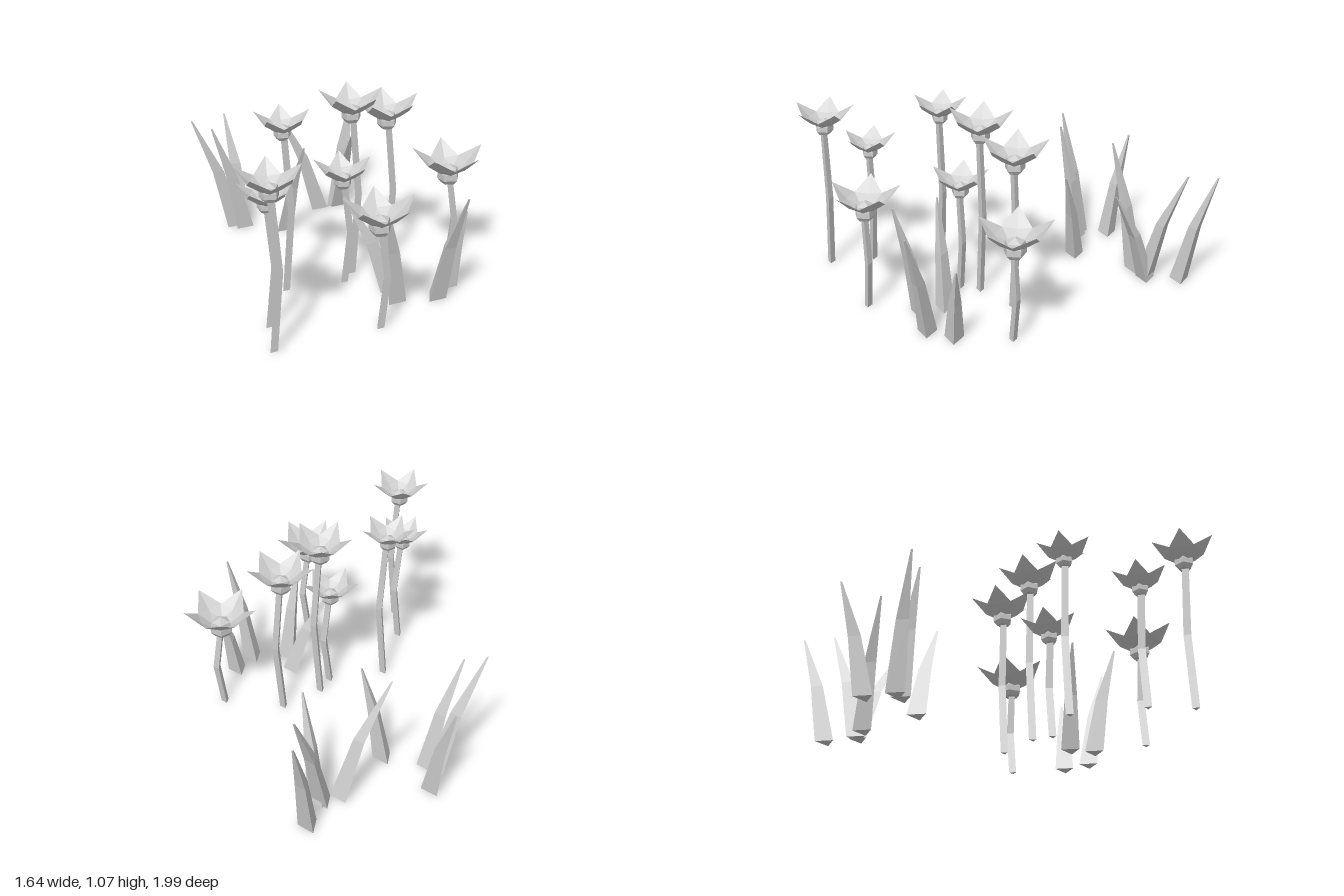
import * as THREE from 'three';

const grey = new THREE.MeshStandardMaterial({ color: 0xcccccc, flatShading: true, side: THREE.DoubleSide });
grey.name = 'pale grey';

// Three-sided tapering tube through horizontal rings [x, y, z, radius], one flat side facing front
function loft(rings) {
  const pos = [], index = [], n = 3, last = (rings.length - 1) * n;
  for (const [x, y, z, r] of rings) {
    for (let k = 0; k < n; k++) {
      const a = Math.PI / 6 + (k / n) * Math.PI * 2;
      pos.push(x + r * Math.cos(a), y, z + r * Math.sin(a));
    }
  }
  for (let i = 0; i < last; i += n) {
    for (let k = 0; k < n; k++) {
      const a = i + k, b = i + (k + 1) % n;
      index.push(a, a + n, b, b, a + n, b + n);
    }
  }
  index.push(0, 1, 2, last, last + 2, last + 1);
  return buildGeometry(pos, index);
}

function buildGeometry(pos, index) {
  const g = new THREE.BufferGeometry();
  g.setAttribute('position', new THREE.Float32BufferAttribute(pos, 3));
  g.setIndex(index);
  g.computeVertexNormals();
  return g;
}

function add(parent, geometry, name) {
  const mesh = new THREE.Mesh(geometry, grey);
  mesh.name = name;
  parent.add(mesh);
  return mesh;
}

// Slightly cupped petal pointing to +x, for a bloom of radius 1
function petalGeometry() {
  const c = Math.cos(Math.PI / 5), s = Math.sin(Math.PI / 5), a = 0.24, b = 0.65;
  return buildGeometry([
    a * c, 0.28, -a * s, a * c, 0.28, a * s,
    b * c, 0.56, b * s, 1, 0.93, 0, b * c, 0.56, -b * s,
    0.55, 0.5, 0], [0, 1, 5, 1, 2, 5, 2, 3, 5, 3, 4, 5, 4, 0, 5]);
}

// Five-sided bud under and inside the petals
function budGeometry() {
  const profile = [[0, 0], [0.2, 0], [0.3, 0.12], [0.3, 0.28], [0.26, 0.43], [0, 0.55]];
  return new THREE.LatheGeometry(profile.map(p => new THREE.Vector2(...p)), 5, Math.PI / 2);
}

export function createModel() {
  const model = new THREE.Group();
  model.name = 'flowerPatch';
  const petal = petalGeometry(), bud = budGeometry();

  // Flowers: x, z, stem height, bloom radius
  const flowers = [
    [-0.685, 0.785, 0.81, 0.173],
    [-0.605, 0.55, 0.645, 0.151],
    [-0.362, 0.22, 0.875, 0.154],
    [-0.098, 0.81, 0.525, 0.196],
    [0.056, 0.19, 0.897, 0.181],
    [0.31, 0.125, 0.8, 0.187],
    [0.612, 0.30, 0.483, 0.208],
    [-0.033, 0.27, 0.56, 0.163],
  ];
  for (const [x, z, h, R] of flowers) {
    const flower = new THREE.Group();
    flower.name = 'flower';
    flower.position.set(x, 0, z);
    model.add(flower);
    add(flower, loft([[0.002, 0, 0.01, 0.024], [0.036, h * 0.53, 0.01, 0.024], [0.002, h + 0.01, 0.006, 0.022]]), 'stem');
    const bloom = new THREE.Group();
    bloom.name = 'bloom';
    bloom.position.y = h;
    bloom.scale.setScalar(R);
    flower.add(bloom);
    add(bloom, bud, 'bud');
    for (let i = 0; i < 5; i++) add(bloom, petal, 'petal').rotation.y = (i * Math.PI * 2) / 5;
  }

  // Leaves: base x, z, then tip x, y, z
  const leaves = [
    [-0.187, -0.83, -0.22, 0.61, -0.99],
    [-0.288, -0.69, -0.53, 0.7, -0.71],
    [-0.245, -0.647, -0.435, 0.66, -0.635],
    [0.283, -0.7, 0.01, 0.69, -0.71],
    [0.52, -0.848, 0.64, 0.65, -0.98],
    [0.388, -0.705, 0.577, 0.67, -0.82],
    [0.41, -0.69, 0.405, 0.56, -0.465],
    [-0.046, -0.5, 0.037, 0.55, -0.375],
    [0.138, 0.467, -0.085, 0.56, 0.388],
    [0.114, 0.604, 0.005, 0.6, 0.697],
    [0.452, 0.574, 0.545, 0.44, 0.604],
    [0.325, 0.668, 0.413, 0.62, 0.82],
  ];
  for (const [x, z, tx, ty, tz] of leaves) {
    add(model, loft([
      [x, 0, z, 0.06],
      [x + (tx - x) * 0.4, ty * 0.52, z + (tz - z) * 0.4, 0.04],
      [tx, ty, tz, 0.006],
    ]), 'leaf');
  }
  return model;
}
